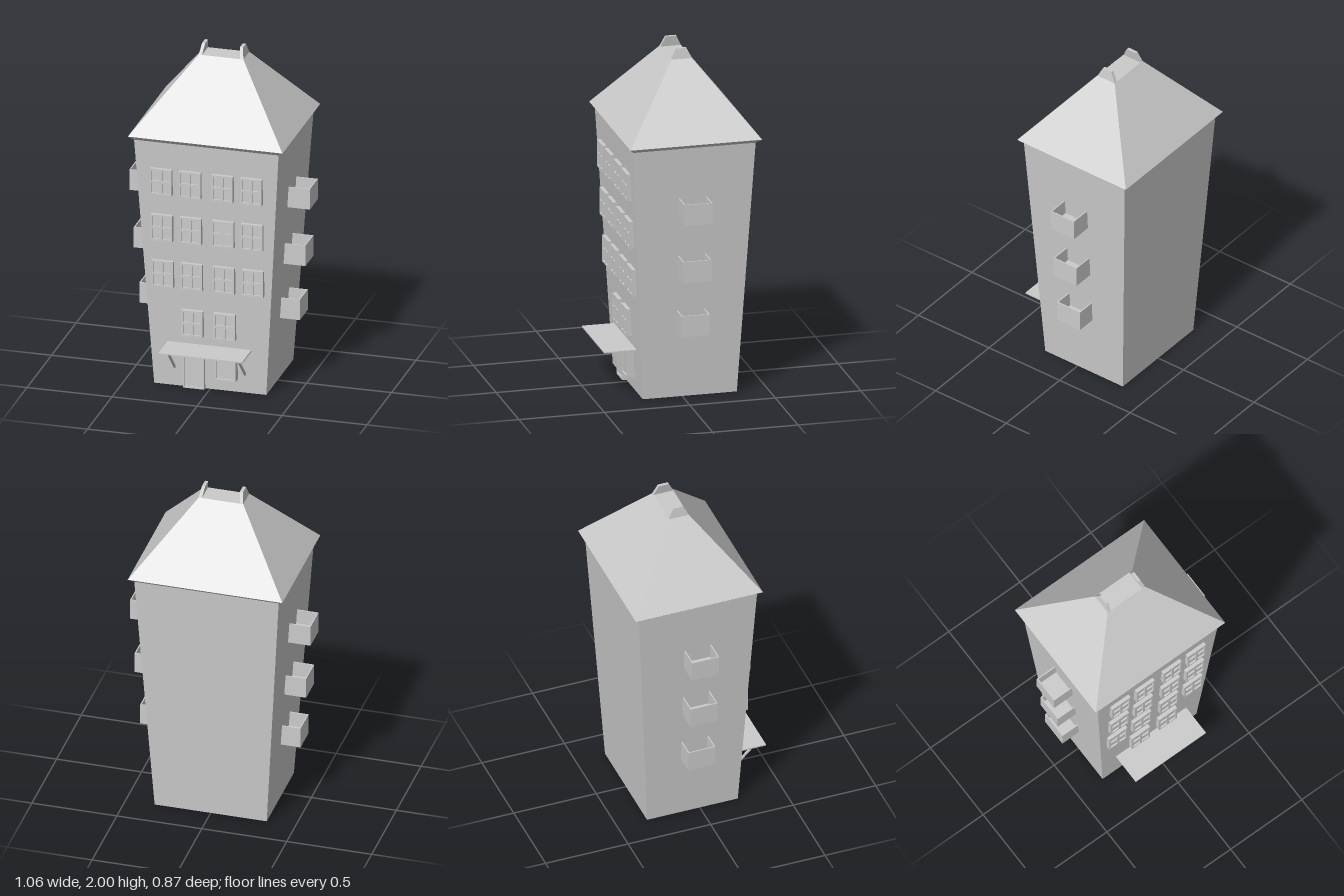
import * as THREE from 'three';

const material = new THREE.MeshStandardMaterial({ color: 0xcccccc, flatShading: true });
const openMaterial = new THREE.MeshStandardMaterial({ color: 0xcccccc, flatShading: true, side: THREE.DoubleSide });

// Skin a stack of rectangles [y, x0, x1, z0, z1], listed bottom to top
function loft(rings, capBottom, capTop) {
  const points = [];
  const corners = rings.map(([y, x0, x1, z0, z1]) => [[x0, y, z1], [x1, y, z1], [x1, y, z0], [x0, y, z0]]);
  const quad = (a, b, c, d) => points.push(...a, ...b, ...c, ...a, ...c, ...d);
  for (let i = 0; i + 1 < corners.length; i++) {
    const low = corners[i], high = corners[i + 1];
    for (let k = 0; k < 4; k++) {
      const n = (k + 1) % 4;
      quad(low[k], low[n], high[n], high[k]);
    }
  }
  if (capBottom) quad(...[...corners[0]].reverse());
  if (capTop) quad(...corners[corners.length - 1]);
  const geometry = new THREE.BufferGeometry();
  geometry.setAttribute('position', new THREE.Float32BufferAttribute(points, 3));
  geometry.computeVertexNormals();
  return geometry;
}

function addMesh(parent, name, geometry, mat = material) {
  const mesh = new THREE.Mesh(geometry, mat);
  mesh.name = name;
  parent.add(mesh);
  return mesh;
}

function addBox(parent, name, x0, x1, y0, y1, z0, z1) {
  const mesh = addMesh(parent, name, new THREE.BoxGeometry(x1 - x0, y1 - y0, z1 - z0));
  mesh.position.set((x0 + x1) / 2, (y0 + y1) / 2, (z0 + z1) / 2);
  return mesh;
}

function addGroup(parent, name) {
  const group = new THREE.Group();
  group.name = name;
  parent.add(group);
  return group;
}

// Rectangular frame with a grid of openings and a recessed pane behind it
function addFramed(parent, name, x0, x1, y0, y1, zFront, depth, rim, bar, cells) {
  const group = addGroup(parent, name);
  const rect = (T, a, b, c, d) => new T([
    new THREE.Vector2(a, c), new THREE.Vector2(b, c), new THREE.Vector2(b, d), new THREE.Vector2(a, d),
  ]);
  const shape = rect(THREE.Shape, x0, x1, y0, y1);
  const w = (x1 - x0 - 2 * rim - (cells - 1) * bar) / cells;
  const h = (y1 - y0 - 2 * rim - (cells - 1) * bar) / cells;
  for (let i = 0; i < cells; i++) {
    for (let j = 0; j < cells; j++) {
      const a = x0 + rim + i * (w + bar), c = y0 + rim + j * (h + bar);
      shape.holes.push(rect(THREE.Path, a, a + w, c, c + h));
    }
  }
  const frame = addMesh(group, name + 'Frame', new THREE.ExtrudeGeometry(shape, { depth, bevelEnabled: false }));
  frame.position.z = zFront - depth;
  const e = rim / 2;
  addBox(group, name + 'Pane', x0 + e, x1 - e, y0 + e, y1 - e, zFront - depth + 0.004, zFront - 0.01);
}

export function createModel() {
  const house = new THREE.Group();
  house.name = 'house';

  // Walls lean outward and are open underneath
  addMesh(house, 'walls', loft([
    [0, -0.33, 0.33, -0.32, 0.23],
    [1.505, -0.425, 0.425, -0.405, 0.31],
  ]), openMaterial);

  // Hipped roof with flared eaves and a flat top
  addMesh(house, 'roof', loft([
    [1.505, -0.425, 0.425, -0.405, 0.31],
    [1.53, -0.455, 0.455, -0.435, 0.335],
    [1.94, -0.131, 0.131, -0.111, 0.01],
  ], true, true));

  // Raised ends of the ridge
  for (const s of [-1, 1]) {
    const span = (a, b) => (s > 0 ? [a, b] : [-b, -a]);
    addMesh(house, s > 0 ? 'leftRidgeEnd' : 'rightRidgeEnd', loft([
      [1.94, ...span(0.112, 0.131), -0.111, 0.01],
      [2, ...span(0.102, 0.121), -0.081, -0.02],
    ], true, true));
  }

  // Four-pane windows: [bottom, front z, centres]
  const columns = [-0.265, -0.095, 0.095, 0.265];
  const rows = [
    [0.324, 0.279, [-0.095, 0.095]],
    [0.615, 0.292, columns],
    [0.902, 0.308, columns],
    [1.187, 0.323, columns],
  ];
  for (const [y, z, centres] of rows) {
    for (const x of centres) addFramed(house, 'window', x - 0.0635, x + 0.0635, y, y + 0.159, z, 0.045, 0.011, 0.014, 2);
  }

  // Ground floor shop window and door
  addFramed(house, 'shopWindow', 0.042, 0.164, 0.078, 0.239, 0.279, 0.045, 0.008, 0, 1);
  addFramed(house, 'door', -0.153, -0.029, 0, 0.233, 0.255, 0.04, 0.01, 0, 1);

  // Canopy with a slanted brace at each end
  addBox(house, 'canopy', -0.247, 0.247, 0.262, 0.27, 0.2, 0.433);
  for (const x of [-0.207, 0.207]) {
    const brace = addMesh(house, 'canopyBrace', new THREE.BoxGeometry(0.011, 0.011, 0.225));
    brace.position.set(x, 0.187, 0.308);
    brace.rotation.x = -Math.PI / 4;
  }

  // Balconies on both sides: three thin walls around a raised floor
  const balconies = [[0.398, 0.472], [0.732, 0.505], [1.08, 0.531]];
  for (const s of [-1, 1]) {
    for (const [y, reach] of balconies) {
      const group = addGroup(house, s > 0 ? 'leftBalcony' : 'rightBalcony');
      const inner = 0.325 + 0.095 * (y / 1.505);
      const top = y + 0.124, t = 0.007;
      const part = (name, a, b, ...rest) => addBox(group, name, ...(s > 0 ? [a, b] : [-b, -a]), ...rest);
      part('balconyFront', reach - t, reach, y, top, -0.124, 0.04);
      part('balconySide', inner, reach - t, y, top, 0.04 - t, 0.04);
      part('balconySide', inner, reach - t, y, top, -0.124, -0.124 + t);
      part('balconyFloor', inner, reach - t, y + 0.025, y + 0.035, -0.124 + t, 0.04 - t);
    }
  }
  return house;
}
